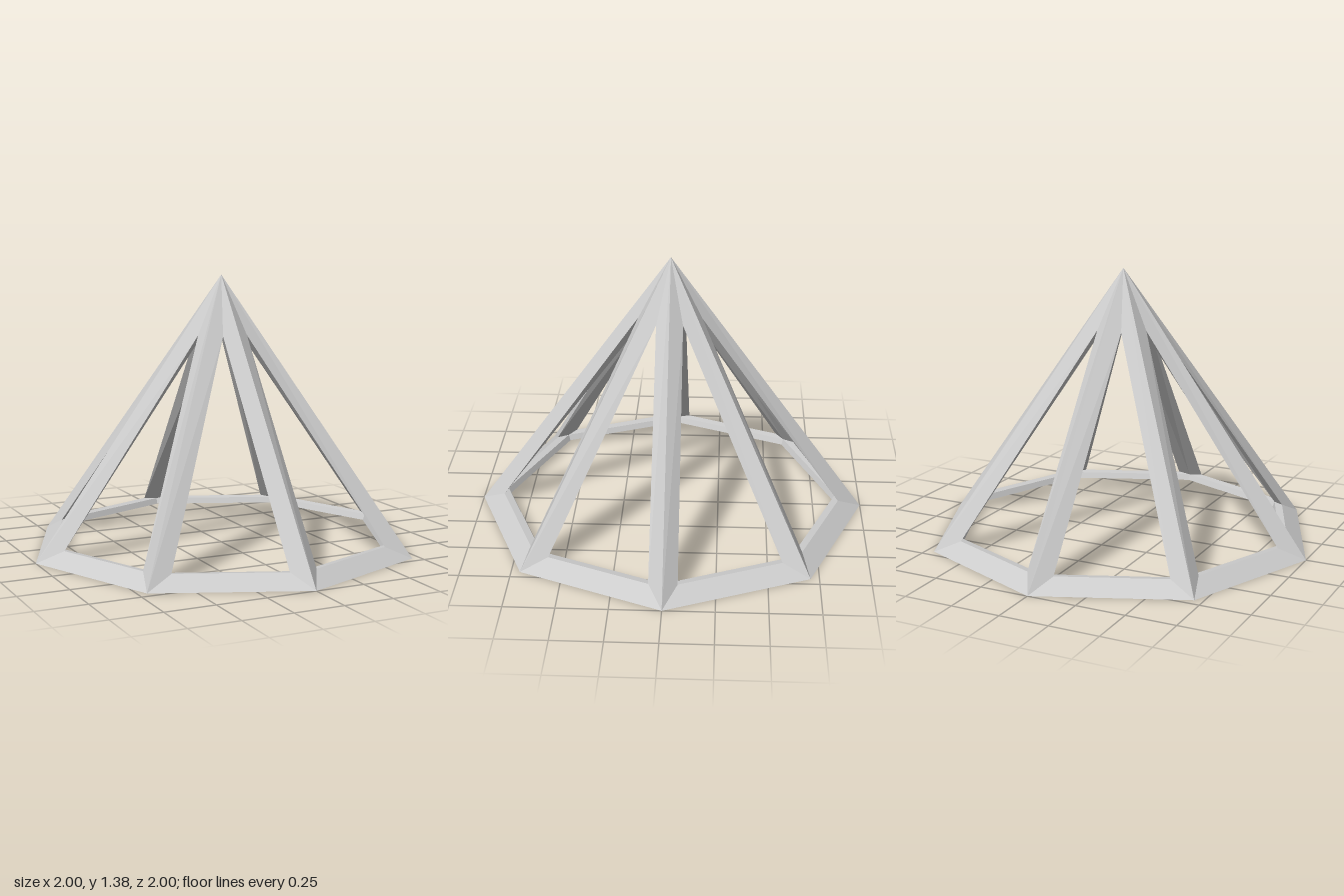
import * as THREE from 'three';

const SIDES = 8;
const STEP = (Math.PI * 2) / SIDES;

// Skin a beam between two matching closed cross-sections
function beam(a, b) {
  const pos = [];
  a.forEach((p, i) => {
    const j = (i + 1) % a.length;
    pos.push(...p, ...a[j], ...b[j], ...p, ...b[j], ...b[i]);
  });
  const g = new THREE.BufferGeometry();
  g.setAttribute('position', new THREE.Float32BufferAttribute(pos, 3));
  g.computeVertexNormals();
  return g;
}

// Mirror a point from one corner of a side to the next corner
function toNextCorner([x, y, z]) {
  const r = Math.hypot(x, z);
  const t = STEP - Math.atan2(x, z);
  return [r * Math.sin(t), y, r * Math.cos(t)];
}

export function createModel() {
  const group = new THREE.Group();
  const material = new THREE.MeshStandardMaterial({ color: 0xcccccc, flatShading: true });

  // Points shared by a leg foot and the mitred base corner
  const outer = [0, 0, 1];
  const opening = [0.07, 0.065, 0.877];
  const inner = [0, 0.06, 0.866];
  const under = [0, 0.03, 0.853];

  // Sloping leg: diamond section running from the foot to the shared apex
  const legGeometry = beam(
    [outer, opening, inner, [-opening[0], opening[1], opening[2]]],
    [[0, 1.38, 0], [0.066, 1.085, 0.159], [0, 1.225, 0], [-0.066, 1.085, 0.159]]
  );

  // Base bar: one side of the octagonal ring
  const corner = [outer, under, inner, opening];
  const barGeometry = beam(corner, corner.map(toNextCorner));

  for (let i = 0; i < SIDES; i++) {
    for (const [name, geometry] of [['leg', legGeometry], ['baseBar', barGeometry]]) {
      const mesh = new THREE.Mesh(geometry, material);
      mesh.name = name + (i + 1);
      mesh.rotation.y = i * STEP;
      group.add(mesh);
    }
  }
  group.name = 'octagonalPyramidFrame';
  return group;
}
